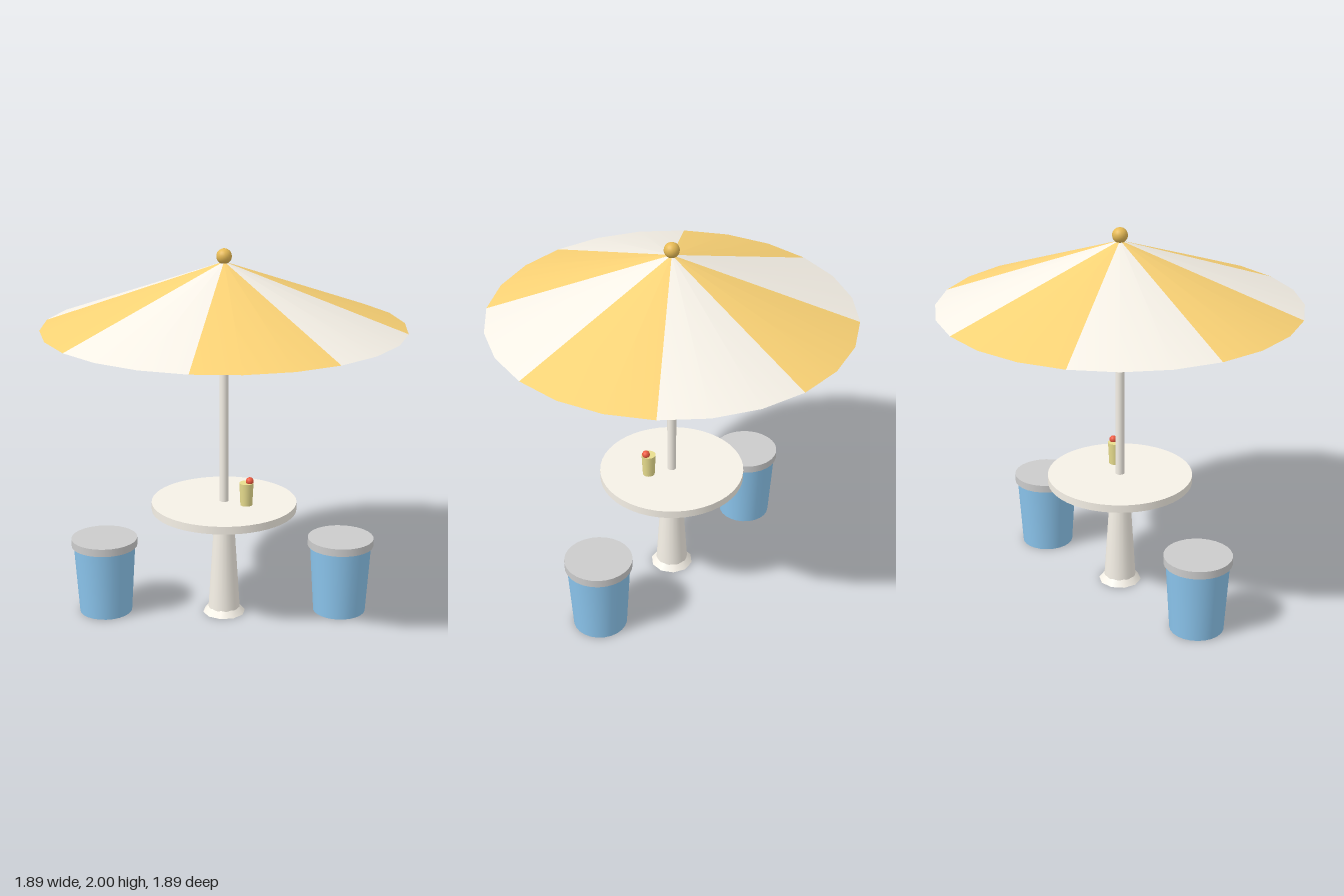
import * as THREE from 'three';

const material = (color) => new THREE.MeshStandardMaterial({ color });

export function createModel() {
  const model = new THREE.Group();
  const cream = material(0xf5f0e6);
  const yellow = material(0xfad275);
  const blue = material(0x8cc6ee);
  const grey = material(0xc2c2c2);

  function add(parent, name, geometry, mat, x = 0, y = 0, z = 0) {
    const mesh = new THREE.Mesh(geometry, mat);
    mesh.name = name;
    mesh.position.set(x, y, z);
    parent.add(mesh);
    return mesh;
  }

  // Upright cylinder given by its bottom and top heights
  function column(parent, name, rTop, rBottom, y0, y1, mat, sides = 24) {
    const geometry = new THREE.CylinderGeometry(rTop, rBottom, y1 - y0, sides);
    return add(parent, name, geometry, mat, 0, (y0 + y1) / 2, 0);
  }

  // Table on its flared pedestal
  const table = new THREE.Group();
  table.name = 'table';
  model.add(table);
  column(table, 'pedestalFoot', 0.085, 0.115, 0, 0.035, cream, 10);
  column(table, 'pedestal', 0.05, 0.086, 0.03, 0.594, cream, 20);
  column(table, 'tableTop', 0.387, 0.387, 0.6, 0.642, cream, 48);

  // Parasol: pole, eight alternating canopy panels closed flat below, and a ball finial
  const parasol = new THREE.Group();
  parasol.name = 'parasol';
  model.add(parasol);
  column(parasol, 'pole', 0.024, 0.024, 0.58, 1.92, cream, 16);
  const rimY = 1.593, apexY = 1.933;
  for (let i = 0; i < 8; i++) {
    const panel = new THREE.ConeGeometry(0.944, apexY - rimY, 3, 1, false, i * Math.PI / 4, Math.PI / 4);
    add(parasol, 'canopyPanel', panel, i % 2 ? cream : yellow, 0, (rimY + apexY) / 2, 0);
  }
  add(parasol, 'finial', new THREE.SphereGeometry(0.04, 20, 14), material(0xe6ba55), 0, 1.96, 0);

  // Two bucket stools with round seats
  for (const [x, z] of [[0.617, -0.13], [-0.641, 0.09]]) {
    const stool = new THREE.Group();
    stool.name = 'stool';
    stool.position.set(x, 0, z);
    model.add(stool);
    column(stool, 'stoolBody', 0.166, 0.142, 0, 0.38, blue);
    column(stool, 'stoolSeat', 0.178, 0.178, 0.38, 0.422, grey, 28);
  }

  // Drink with a cherry on the table
  const drink = new THREE.Group();
  drink.name = 'drink';
  drink.position.set(0.127, 0, 0.042);
  model.add(drink);
  column(drink, 'cup', 0.038, 0.032, 0.64, 0.765, material(0xe8dd8e), 16);
  add(drink, 'cherry', new THREE.SphereGeometry(0.021, 14, 10), material(0xec5a40), 0.018, 0.775, 0);

  return model;
}
